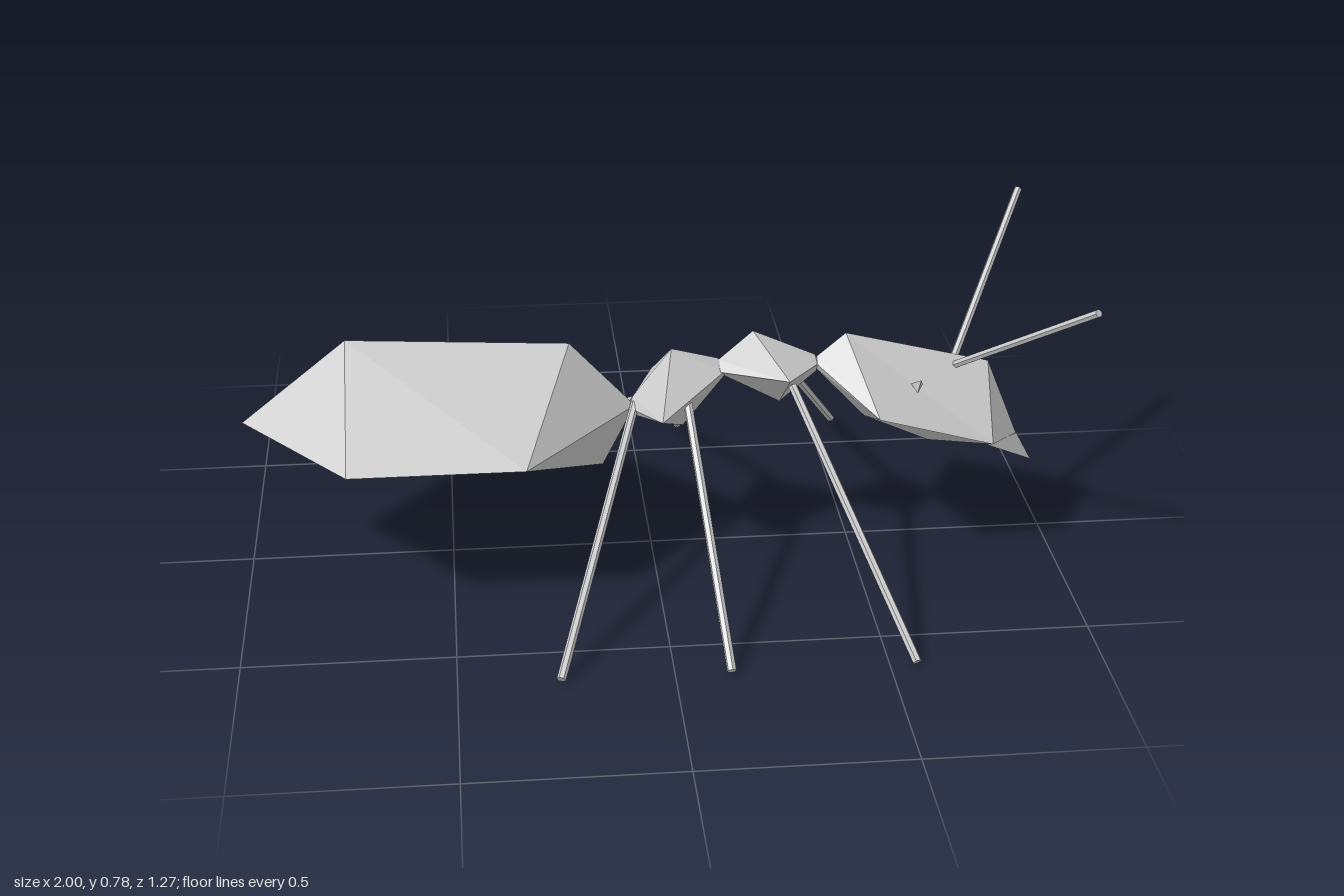
import * as THREE from 'three';

const material = new THREE.MeshStandardMaterial({ color: 0xcccccc, flatShading: true, side: THREE.DoubleSide });

function facetMesh(name, positions) {
  const geometry = new THREE.BufferGeometry();
  geometry.setAttribute('position', new THREE.Float32BufferAttribute(positions, 3));
  geometry.computeVertexNormals();
  const mesh = new THREE.Mesh(geometry, material);
  mesh.name = name;
  return mesh;
}

// Diamond section: a top ridge point, a mirrored side point and a bottom keel point
const section = (top, side, bottom) => [
  [top[0], top[1], 0], side, [bottom[0], bottom[1], 0], [side[0], side[1], -side[2]],
];
const tip = (x, y) => section([x, y], [x, y, 0], [x, y]);

// Faceted body lofted along x through diamond sections
function diamondBody(name, sections) {
  const p = [];
  for (let i = 0; i + 1 < sections.length; i++) {
    const a = sections[i], b = sections[i + 1];
    for (let k = 0; k < 4; k++) {
      const n = (k + 1) % 4;
      const tris = k % 2 === 0
        ? [a[k], a[n], b[n], a[k], b[n], b[k]]
        : [a[k], a[n], b[k], a[n], b[n], b[k]];
      for (let t = 0; t < 6; t += 3) {
        const [u, v, w] = tris.slice(t, t + 3).map((q) => new THREE.Vector3(...q));
        if (v.clone().sub(u).cross(w.clone().sub(u)).length() > 1e-7) p.push(...tris.slice(t, t + 3).flat());
      }
    }
  }
  return facetMesh(name, p);
}

// Thin straight rod between two points
function rod(name, from, to, radius) {
  const a = new THREE.Vector3(...from), b = new THREE.Vector3(...to);
  const mesh = new THREE.Mesh(new THREE.CylinderGeometry(radius, radius, a.distanceTo(b), 6), material);
  mesh.position.copy(a).add(b).multiplyScalar(0.5);
  mesh.quaternion.setFromUnitVectors(new THREE.Vector3(0, 1, 0), b.sub(a).normalize());
  mesh.name = name;
  return mesh;
}

export function createModel() {
  const model = new THREE.Group();
  model.name = 'ant';

  model.add(diamondBody('abdomen', [
    tip(-1, 0.38),
    section([-0.74, 0.59], [-0.74, 0.38, 0.315], [-0.74, 0.225]),
    section([-0.2, 0.56], [-0.32, 0.38, 0.315], [-0.12, 0.225]),
    tip(-0.04, 0.385),
  ]));

  model.add(diamondBody('rearThorax', [
    tip(-0.05, 0.385),
    section([-0.045, 0.41], [-0.05, 0.385, 0.02], [-0.045, 0.36]),
    section([0.05, 0.535], [0.015, 0.41, 0.155], [0.08, 0.325]),
    section([0.165, 0.505], [0.18, 0.475, 0.015], [0.18, 0.455]),
    tip(0.18, 0.475),
  ]));

  model.add(diamondBody('frontThorax', [
    tip(0.165, 0.48),
    section([0.165, 0.5], [0.17, 0.475, 0.02], [0.175, 0.46]),
    section([0.25, 0.575], [0.33, 0.48, 0.1], [0.32, 0.38]),
    section([0.405, 0.505], [0.41, 0.485, 0.015], [0.41, 0.46]),
    tip(0.415, 0.485),
  ]));

  model.add(diamondBody('head', [
    tip(0.405, 0.485),
    section([0.41, 0.5], [0.41, 0.485, 0.02], [0.41, 0.465]),
    section([0.48, 0.56], [0.535, 0.42, 0.205], [0.535, 0.33]),
    section([0.84, 0.47], [0.83, 0.313, 0.15], [0.7, 0.255]),
    tip(0.925, 0.265),
  ]));

  for (const s of [1, -1]) {
    const side = s > 0 ? 'Front' : 'Back';

    // Pointed jaw hanging below the face
    const [a, b, c, d] = [[0.82, 0.31, 0.15], [0.925, 0.267, 0.006], [0.965, 0.193, 0.01], [0.83, 0.28, 0.05]]
      .map(([x, y, z]) => [x, y, z * s]);
    const faces = [[a, c, b], [a, d, c], [b, c, d], [a, b, d]];
    model.add(facetMesh('jaw' + side, faces.flatMap((f) => (s > 0 ? f : [...f].reverse()).flat())));

    // Small three-sided eye standing on the cheek
    const eye = new THREE.Mesh(new THREE.ConeGeometry(0.017, 0.035, 3), material);
    eye.position.set(0.648, 0.462, 0.1 * s);
    eye.quaternion.setFromUnitVectors(new THREE.Vector3(0, 1, 0), new THREE.Vector3(0.15, 0.8, 0.57 * s).normalize());
    eye.name = 'eye' + side;
    model.add(eye);

    model.add(rod('antenna' + side, [0.755, 0.47, 0.015 * s], [0.988, 0.768, 0.395 * s], 0.01));

    // Three legs: hip and foot
    [
      ['rearLeg', [-0.04, 0.395, 0.01], -0.263],
      ['middleLeg', [0.083, 0.43, 0.05], 0.13],
      ['frontLeg', [0.343, 0.45, 0.06], 0.563],
    ].forEach(([name, [x, y, z], footX]) => {
      model.add(rod(name + side, [x, y, z * s], [footX, 0.006, 0.63 * s], 0.011));
    });
  }
  return model;
}
